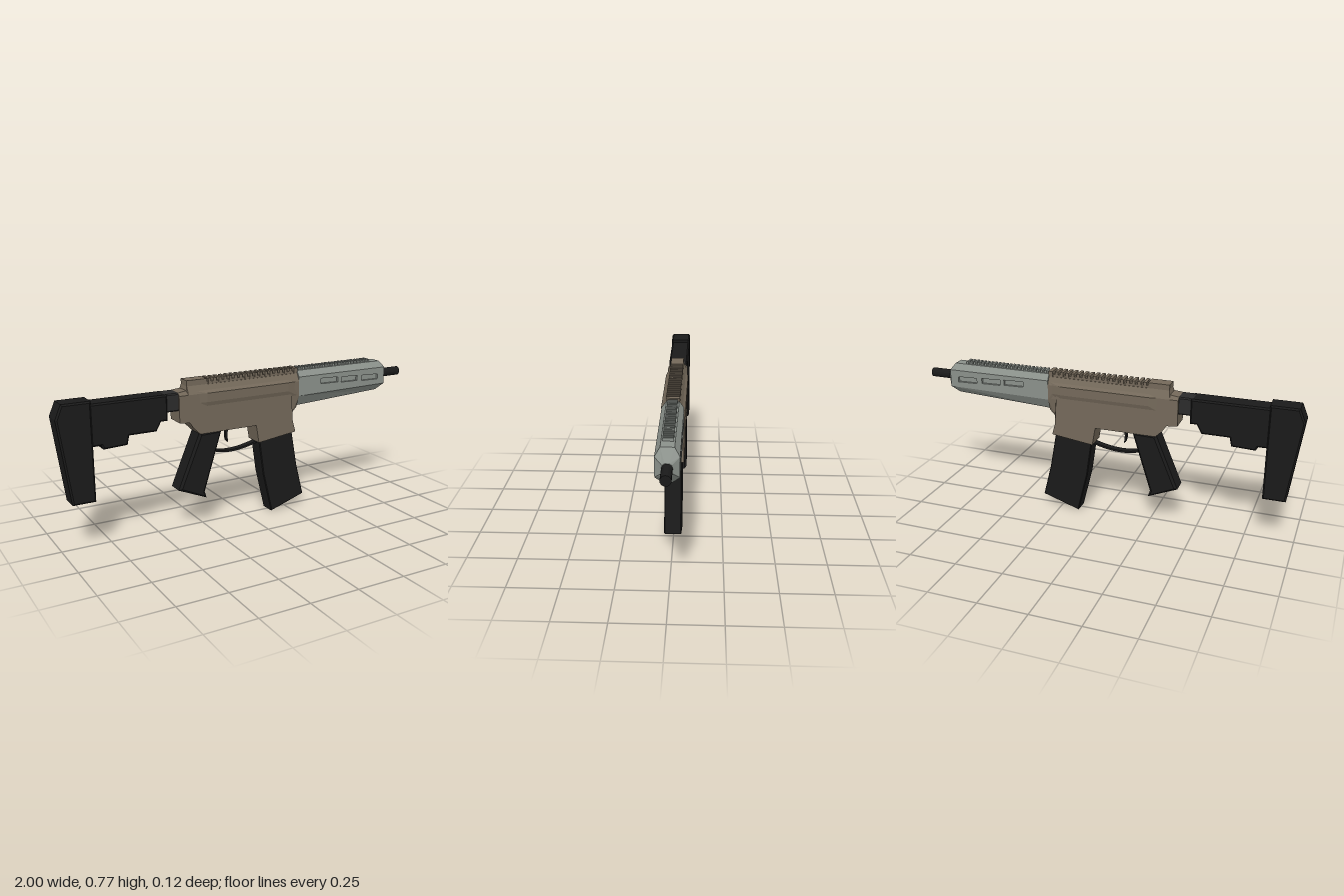
import * as THREE from 'three';
import { mergeGeometries } from 'three/addons/utils/BufferGeometryUtils.js';

const mat = (color) => new THREE.MeshStandardMaterial({ color, flatShading: true, side: THREE.DoubleSide });

// Side profile in x/y, extruded symmetrically about z = 0; bevel keeps the outline size
function plate(points, halfWidth, bevel = 0) {
  const shape = new THREE.Shape(points.map(([x, y]) => new THREE.Vector2(x, y)));
  const geo = new THREE.ExtrudeGeometry(shape, {
    depth: 2 * (halfWidth - bevel), bevelEnabled: bevel > 0, bevelSegments: 1,
    bevelSize: bevel, bevelThickness: bevel, bevelOffset: -bevel,
  });
  return geo.translate(0, 0, bevel - halfWidth);
}

// Rings of [x, y, z] joined along +x, skipping the listed sides
function loft(rings, skip = [], capStart = true, capEnd = true) {
  const pos = [], n = rings[0].length;
  const tri = (...p) => p.forEach((v) => pos.push(...v));
  for (let r = 0; r < rings.length - 1; r++) {
    for (let i = 0; i < n; i++) {
      if (skip.includes(i)) continue;
      const j = (i + 1) % n, a = rings[r], b = rings[r + 1];
      tri(a[i], a[j], b[j]);
      tri(a[i], b[j], b[i]);
    }
  }
  const first = rings[0], last = rings[rings.length - 1];
  for (let i = 1; i < n - 1; i++) {
    if (capStart) tri(first[0], first[i + 1], first[i]);
    if (capEnd) tri(last[0], last[i], last[i + 1]);
  }
  const geo = new THREE.BufferGeometry();
  geo.setAttribute('position', new THREE.Float32BufferAttribute(pos, 3));
  geo.computeVertexNormals();
  return geo;
}

// Half section of [x, y, z] from top to bottom, mirrored into a closed ring
const mirrorRing = (half) => [...half, ...half.map(([x, y, z]) => [x, y, -z]).reverse()];

const box = (x0, x1, y0, y1, halfZ) =>
  new THREE.BoxGeometry(x1 - x0, y1 - y0, 2 * halfZ).translate((x0 + x1) / 2, (y0 + y1) / 2, 0);

// Row of rail teeth
function teeth(x0, x1, count, y0, y1, halfZ) {
  const pitch = (x1 - x0) / count;
  return mergeGeometries(Array.from({ length: count }, (_, i) =>
    box(x0 + i * pitch, x0 + (i + 0.55) * pitch, y0, y1, halfZ)));
}

export function createModel() {
  const model = new THREE.Group();
  const black = mat(0x1a1a1a), dark = mat(0x2b2b2b), tan = mat(0x74695a), grey = mat(0x8b918b);
  const add = (name, geo, material) => {
    const mesh = new THREE.Mesh(geo, material);
    mesh.name = name;
    model.add(mesh);
    return mesh;
  };

  // Stock and the collar joining it to the receiver
  add('stockArm', plate([[-0.84, 0.715], [-0.84, 0.51], [-0.79, 0.51], [-0.78, 0.49], [-0.66, 0.495],
    [-0.65, 0.54], [-0.51, 0.54], [-0.485, 0.585], [-0.45, 0.585], [-0.45, 0.715]], 0.051, 0.008), black);
  add('stockButt', plate([[-1, 0.66], [-0.945, 0.24], [-0.83, 0.24], [-0.83, 0.73], [-0.97, 0.73]], 0.053, 0.008), black);
  add('stockCollar', plate([[-0.46, 0.625], [-0.385, 0.625], [-0.385, 0.715], [-0.46, 0.715]], 0.045, 0.006), dark);

  // Receiver body, with the magazine well at the front
  add('receiverBody', plate([[-0.39, 0.565], [-0.335, 0.56], [-0.315, 0.53], [-0.28, 0.495], [0.042, 0.495],
    [0.058, 0.4], [0.25, 0.425], [0.25, 0.7], [-0.39, 0.7]], 0.053), tan);
  const nose = plate([[0.25, 0.7], [0.25, 0.425], [0.282, 0.43], [0.265, 0.49], [0.272, 0.53], [0.3, 0.56], [0.3, 0.62], [0.3, 0.7]], 0.053);
  const p = nose.attributes.position;
  for (let i = 0; i < p.count; i++) {
    if (p.getX(i) > 0.27 && p.getY(i) > 0.5 && p.getY(i) < 0.6) p.setZ(i, p.getZ(i) * 0.62);
  }
  nose.computeVertexNormals();
  add('magazineWellFront', nose, tan);

  // Chamfered receiver top
  const topSection = (x, y, z) => mirrorRing([[x, y, z], [x, 0.7, 0.053], [x, 0.69, 0.053]]);
  add('receiverTop', loft([topSection(-0.39, 0.715, 0.04), topSection(-0.345, 0.72, 0.038),
    topSection(-0.34, 0.74, 0.033), topSection(0.3, 0.74, 0.033)]), tan);

  // Raised side ridges
  const ridge = (x, z) => mirrorRing([[x, 0.715, 0.045], [x, 0.7, z], [x, 0.655, z], [x, 0.625, 0.05]]);
  add('receiverSideRidges', loft([ridge(-0.3, 0.05), ridge(-0.24, 0.059), ridge(0.23, 0.059), ridge(0.295, 0.05)]), tan);

  // Receiver rail
  add('railRearBlock', box(-0.34, -0.23, 0.7, 0.768, 0.033), tan);
  add('railFrontBlock', box(0.28, 0.303, 0.7, 0.768, 0.033), tan);
  add('receiverRail', box(-0.235, 0.285, 0.72, 0.752, 0.03), tan);
  add('receiverRailTeeth', teeth(-0.222, 0.28, 17, 0.745, 0.768, 0.033), tan);

  // Handguard shell; its flat sides are separate slotted panels
  const guardRing = (xTop, xSide, bottom, lo, up) => mirrorRing([[xTop, 0.753, 0.03],
    [xSide, up, 0.053], [xSide, lo, 0.053], [xTop - (xTop > 0.5 ? 0.008 : 0), bottom, 0.02]]);
  const rear = guardRing(0.3, 0.3, 0.563, 0.62, 0.722);
  const front = guardRing(0.842, 0.865, 0.59, 0.628, 0.72);
  add('handguardShell', loft([rear, front], [1, 5], true, false), grey);
  const collar = front.map(([, y, z]) => {
    const a = Math.atan2(y - 0.677, z);
    return [0.89, 0.677 + 0.026 * Math.sin(a), 0.026 * Math.cos(a)];
  });
  add('handguardNose', loft([front, collar], [], false, true), grey);

  const slots = [[0.44, 0.55], [0.573, 0.68], [0.71, 0.82]];
  const panel = new THREE.Shape([[0.3, 0.62], [0.865, 0.628], [0.865, 0.72], [0.3, 0.722]]
    .map(([x, y]) => new THREE.Vector2(x, y)));
  slots.forEach(([a, b]) => {
    const y = 0.7 - 0.012 * (a - 0.44) / 0.27;
    panel.holes.push(new THREE.Path([[a, y], [b, y - 0.003], [b, y - 0.031], [a, y - 0.029]]
      .map(([u, v]) => new THREE.Vector2(u, v))));
  });
  for (const side of [-1, 1]) {
    const geo = new THREE.ExtrudeGeometry(panel, { depth: 0.014, bevelEnabled: false });
    add(side > 0 ? 'leftSlottedPanel' : 'rightSlottedPanel', geo.translate(0, 0, side > 0 ? 0.039 : -0.053), grey);
  }
  add('slotFloor', box(0.42, 0.835, 0.65, 0.71, 0.04), grey);
  add('handguardRailTeeth', teeth(0.318, 0.79, 22, 0.745, 0.767, 0.024), grey);

  // Barrel
  add('barrel', new THREE.CylinderGeometry(0.024, 0.024, 0.14, 16).rotateZ(Math.PI / 2).translate(0.93, 0.677, 0), black);

  // Grip and curved magazine
  add('grip', plate([[-0.28, 0.5], [-0.4, 0.215], [-0.245, 0.15], [-0.255, 0.185], [-0.155, 0.5]], 0.053, 0.012), black);
  add('magazine', plate([[0.065, 0.43], [0.067, 0.395], [0.092, 0.22], [0.145, 0], [0.345, 0.065],
    [0.302, 0.235], [0.265, 0.44]], 0.043, 0.004), black);

  // Trigger and its guard
  add('trigger', plate([[-0.115, 0.51], [-0.115, 0.45], [-0.11, 0.425], [-0.1, 0.415], [-0.103, 0.435],
    [-0.105, 0.46], [-0.095, 0.51]], 0.01), black);
  const curve = new THREE.QuadraticBezierCurve(new THREE.Vector2(-0.2, 0.396), new THREE.Vector2(-0.09, 0.352), new THREE.Vector2(0.07, 0.403));
  const path = curve.getPoints(8).map((v) => [v.x, v.y]);
  add('triggerGuard', plate([...path, ...path.map(([x, y]) => [x, y - 0.01]).reverse()], 0.018), black);

  return model;
}
